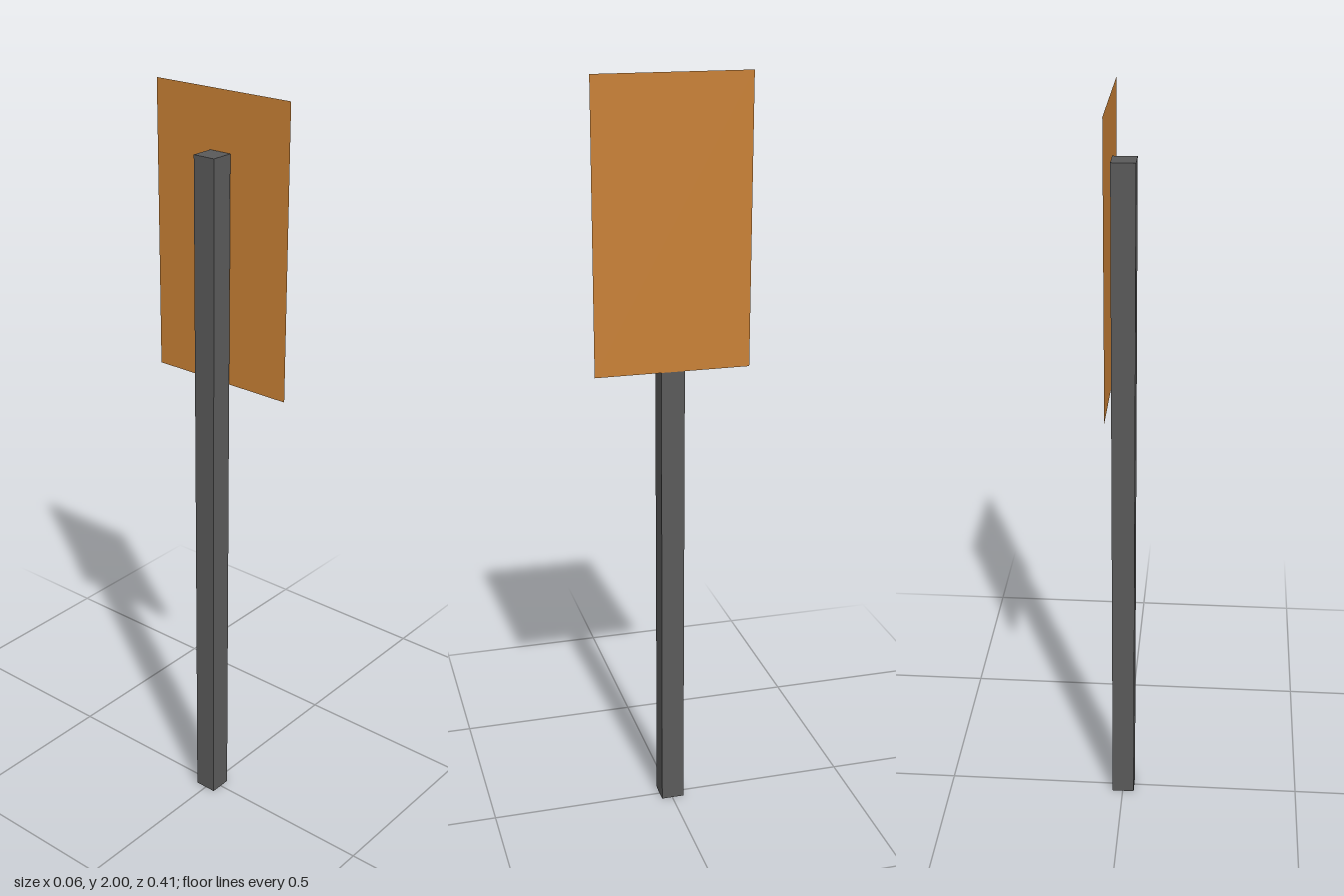
import * as THREE from 'three';

export function createModel() {
  const group = new THREE.Group();

  // Square post
  const post = new THREE.Mesh(
    new THREE.BoxGeometry(0.061, 1.852, 0.062),
    new THREE.MeshStandardMaterial({ color: 0x5a5a5a, flatShading: true })
  );
  post.name = 'post';
  post.position.set(-0.0015, 0.926, -0.0015);

  // Thin sign panel on the +x side of the post, seen from both sides
  const panel = new THREE.Mesh(
    new THREE.PlaneGeometry(0.408, 0.743),
    new THREE.MeshStandardMaterial({ color: 0xc88035, side: THREE.DoubleSide })
  );
  panel.name = 'signPanel';
  panel.rotation.y = Math.PI / 2;
  panel.position.set(0.032, 2 - 0.743 / 2, 0);

  group.add(post, panel);
  return group;
}
